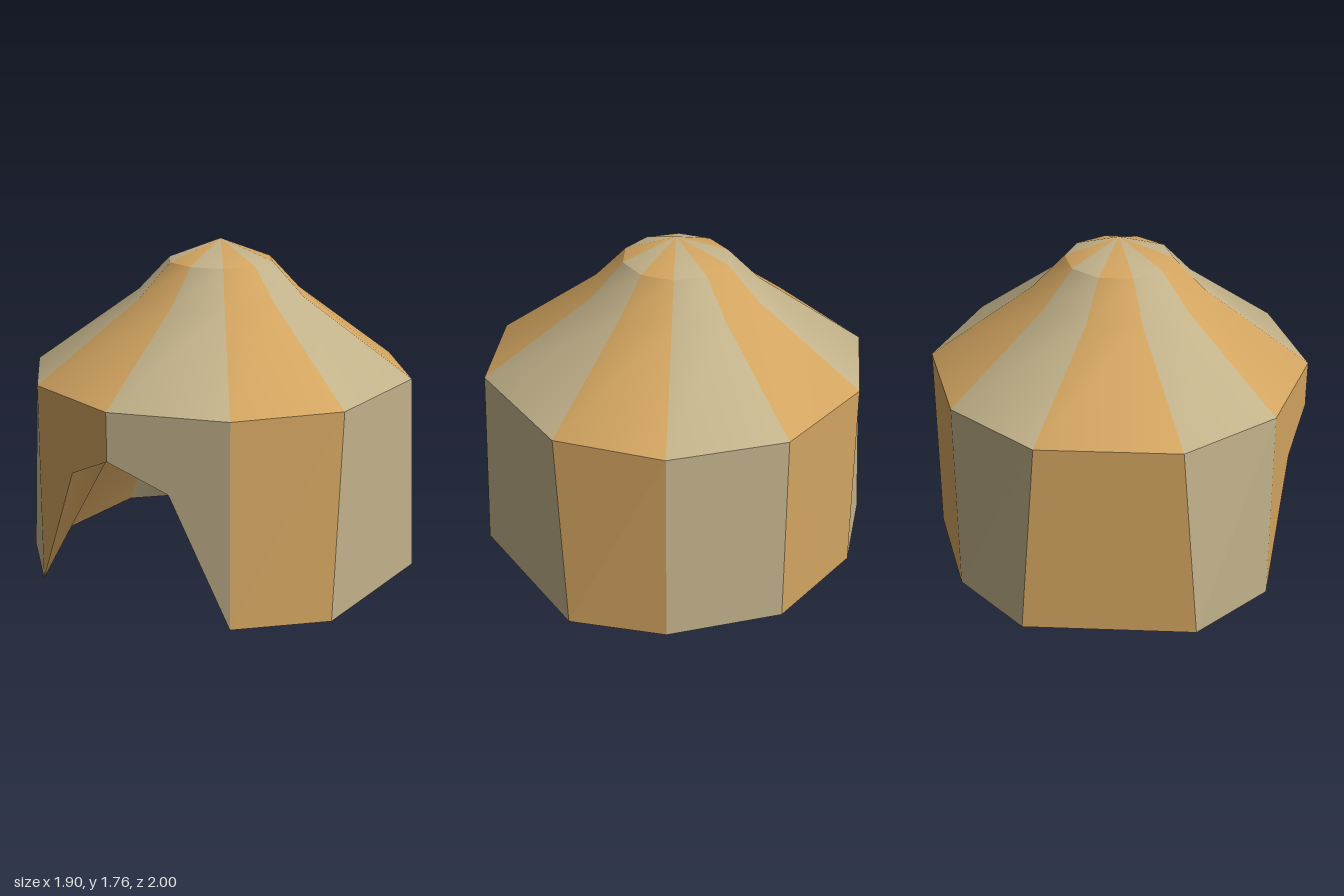
import * as THREE from 'three';

const SIDES = 10;
const khaki = new THREE.MeshStandardMaterial({ color: 0xc2b28a });
khaki.name = 'khaki canvas';
const orange = new THREE.MeshStandardMaterial({ color: 0xd2a460 });
orange.name = 'orange canvas';

// Ring of ten corners, the first one at the front
function ring(radius, y) {
  return Array.from({ length: SIDES }, (_, k) => {
    const a = (k / SIDES) * Math.PI * 2;
    return [Math.sin(a) * radius, y, Math.cos(a) * radius];
  });
}

// Mesh from points and [panel, a, b, c] faces; panels alternate in colour
function striped(name, points, faces, smooth) {
  const index = [];
  let geo = new THREE.BufferGeometry();
  [0, 1].forEach((stripe) => {
    const start = index.length;
    faces.filter((f) => f[0] % 2 === stripe).forEach((f) => index.push(f[1], f[2], f[3]));
    geo.addGroup(start, index.length - start, stripe);
  });
  geo.setAttribute('position', new THREE.Float32BufferAttribute(points.flat(), 3));
  geo.setIndex(index);
  if (!smooth) geo = geo.toNonIndexed();
  geo.computeVertexNormals();
  const mesh = new THREE.Mesh(geo, [khaki, orange]);
  mesh.name = name;
  return mesh;
}

export function createModel() {
  const tent = new THREE.Group();
  tent.name = 'tent';

  // Corners: the side panels widen towards the ground
  const eaves = ring(1, 1.06);
  const feet = ring(1, 0);
  for (const p of [...eaves, ...feet]) {
    if (Math.abs(p[0]) > 0.9) p[2] = Math.sign(p[2]) * (p[1] > 0 ? 0.36 : 0.445);
  }
  const doorTop = [0, 0.81, 1];
  const doorLeft = [0.295, 0.67, 0.905];
  const doorRight = [-0.295, 0.67, 0.905];

  // Walls with the doorway cut from the two front panels
  const D = 20, L = 21, R = 22;
  const wallFaces = [
    [0, 1, 0, D], [0, 1, D, L], [0, 1, L, 11],
    [9, 9, D, 0], [9, 9, R, D], [9, 9, 19, R],
  ];
  for (let k = 1; k < 9; k++) {
    wallFaces.push([k, 10 + k, 11 + k, k + 1], [k, 10 + k, k + 1, k]);
  }
  tent.add(striped('walls', [...eaves, ...feet, doorTop, doorLeft, doorRight], wallFaces, false));

  // Curved roof in two bands
  const roofFaces = [];
  for (let band = 0; band < 2; band++) {
    for (let k = 0; k < SIDES; k++) {
      const a = band * SIDES + k;
      const b = band * SIDES + ((k + 1) % SIDES);
      roofFaces.push([k, a, b, b + SIDES], [k, a, b + SIDES, a + SIDES]);
    }
  }
  tent.add(striped('roof', [...eaves, ...ring(0.45, 1.47), ...ring(0.28, 1.65)], roofFaces, true));

  // Shallow cap
  const capFaces = Array.from({ length: SIDES }, (_, k) => [k, k, (k + 1) % SIDES, SIDES]);
  tent.add(striped('roofCap', [...ring(0.28, 1.65), [0, 1.76, 0]], capFaces, true));

  // Inner lining from the lower edge and doorway up to the peak, facing inwards
  const edge = [doorTop, doorLeft, ...feet.slice(1), doorRight];
  const panels = [0, 0, 1, 2, 3, 4, 5, 6, 7, 8, 9, 9];
  const liningFaces = panels.map((p, i) => [p, i, edge.length, (i + 1) % edge.length]);
  tent.add(striped('lining', [...edge, [0, 1.72, 0]], liningFaces, true));

  return tent;
}
